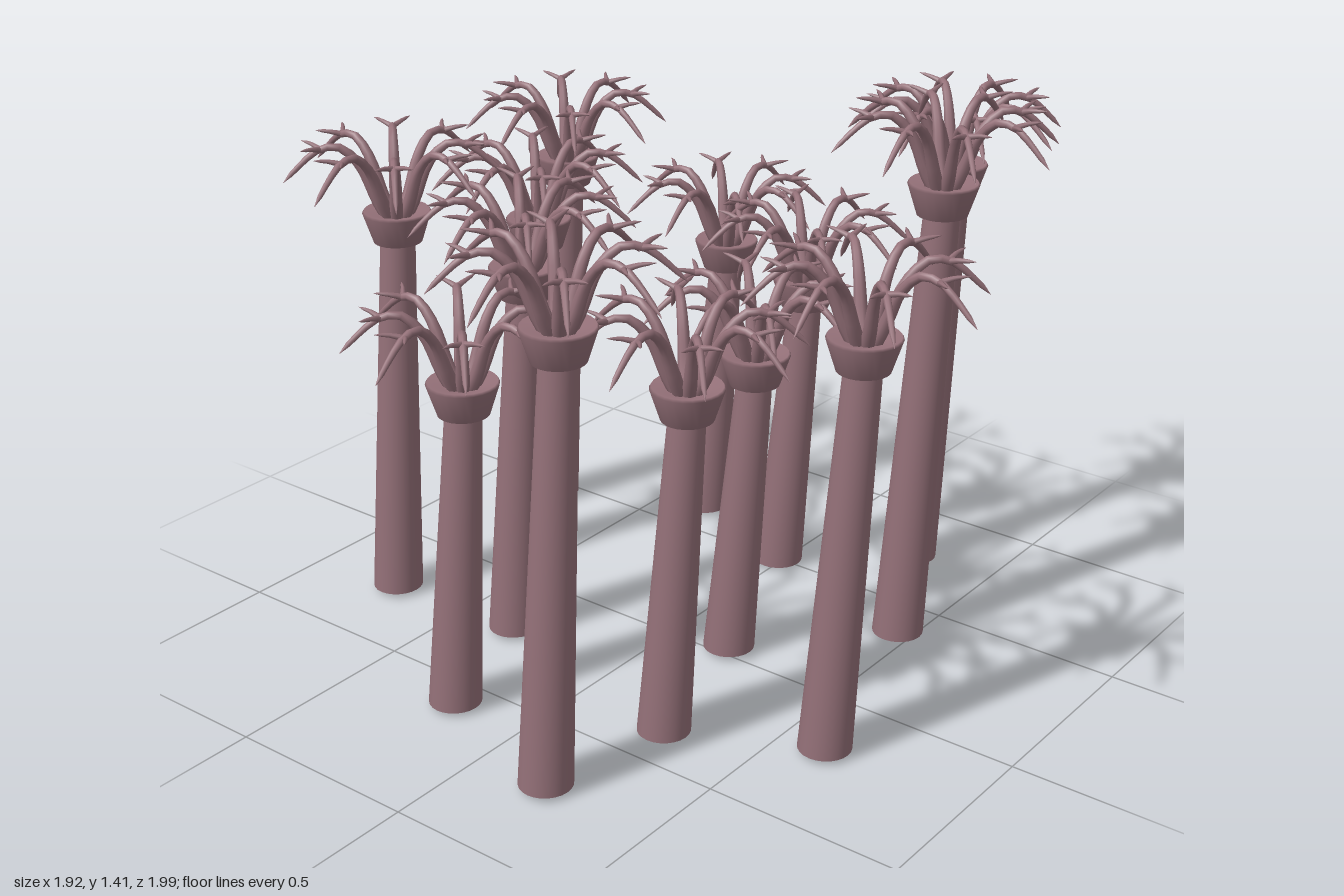
import * as THREE from 'three';
import { mergeGeometries } from 'three/addons/utils/BufferGeometryUtils.js';

const V = (x, y, z = 0) => new THREE.Vector3(x, y, z);
const lathe = (pts, n) => new THREE.LatheGeometry(pts.map(p => new THREE.Vector2(...p)), n);

// Tube along a curve that narrows from r0 to r1, with a closed tip
function taperedTube(points, r0, r1, steps, sides) {
  const curve = new THREE.CatmullRomCurve3(points);
  const geo = new THREE.TubeGeometry(curve, steps, 1, sides);
  const pos = geo.attributes.position, p = V(0, 0);
  for (let i = 0; i <= steps; i++) {
    const c = curve.getPointAt(i / steps);
    const r = i === steps ? 0.0005 : THREE.MathUtils.lerp(r0, r1, i / steps);
    for (let j = 0; j <= sides; j++) {
      const k = i * (sides + 1) + j;
      p.fromBufferAttribute(pos, k).sub(c).multiplyScalar(r).add(c);
      pos.setXYZ(k, p.x, p.y, p.z);
    }
  }
  return geo;
}

// One arching tentacle with a pair of side spikes, repeated eight times
function tentacleRing() {
  const arm = mergeGeometries([
    taperedTube([V(0.015, -0.03), V(0.042, 0.02), V(0.085, 0.12), V(0.132, 0.165),
      V(0.18, 0.16), V(0.225, 0.125), V(0.27, 0.08)], 0.018, 0.005, 14, 8),
    ...[-1, 1].map(s => taperedTube([V(0.175, 0.16), V(0.195, 0.168, s * 0.022),
      V(0.222, 0.172, s * 0.045)], 0.008, 0.003, 4, 6)),
  ]);
  return mergeGeometries(Array.from({ length: 8 }, (_, i) => arm.clone().rotateY(i * Math.PI / 4)));
}

// Tapered stalk with a rounded foot, sheared so its foot sits towards -x
function stalkGeometry(height, lean) {
  const geo = lathe([[0, 0], [0.045, 0.002], [0.065, 0.012], [0.043, height]], 24);
  const pos = geo.attributes.position;
  for (let i = 0; i < pos.count; i++) {
    pos.setX(i, pos.getX(i) + lean * (pos.getY(i) / height - 1));
  }
  return geo;
}

export function createModel() {
  const group = new THREE.Group();
  const material = new THREE.MeshStandardMaterial({ color: 0x96727a });
  const tentacles = tentacleRing();
  const cup = lathe([[0, -0.088], [0.04, -0.087], [0.061, -0.08], [0.085, -0.006],
    [0.081, 0], [0.05, -0.01], [0, -0.014]], 24);

  // Crown position and cup rim height of each polyp: x, z, y
  const polyps = [
    [-0.69, -0.435, 1.045], [-0.295, -0.63, 0.835], [0.34, -0.73, 1.15],
    [0.06, -0.49, 0.85], [0.53, -0.355, 1.235], [-0.53, -0.13, 0.985],
    [0.23, -0.03, 0.835], [0.685, 0.21, 1.07], [-0.66, 0.25, 1.08],
    [-0.265, 0.23, 1.02], [0.34, 0.38, 0.92], [-0.14, 0.587, 0.875],
    [0.265, 0.722, 1.155],
  ];

  for (const [x, z, y] of polyps) {
    const polyp = new THREE.Group();
    polyp.name = 'polyp';
    polyp.position.set(x, 0, z);
    const add = (name, geo, height) => {
      const mesh = new THREE.Mesh(geo, material);
      mesh.name = name;
      mesh.position.y = height;
      polyp.add(mesh);
    };
    add('stalk', stalkGeometry(y - 0.06, 0.068), 0);
    add('cup', cup, y);
    add('tentacles', tentacles, y);
    group.add(polyp);
  }
  return group;
}
